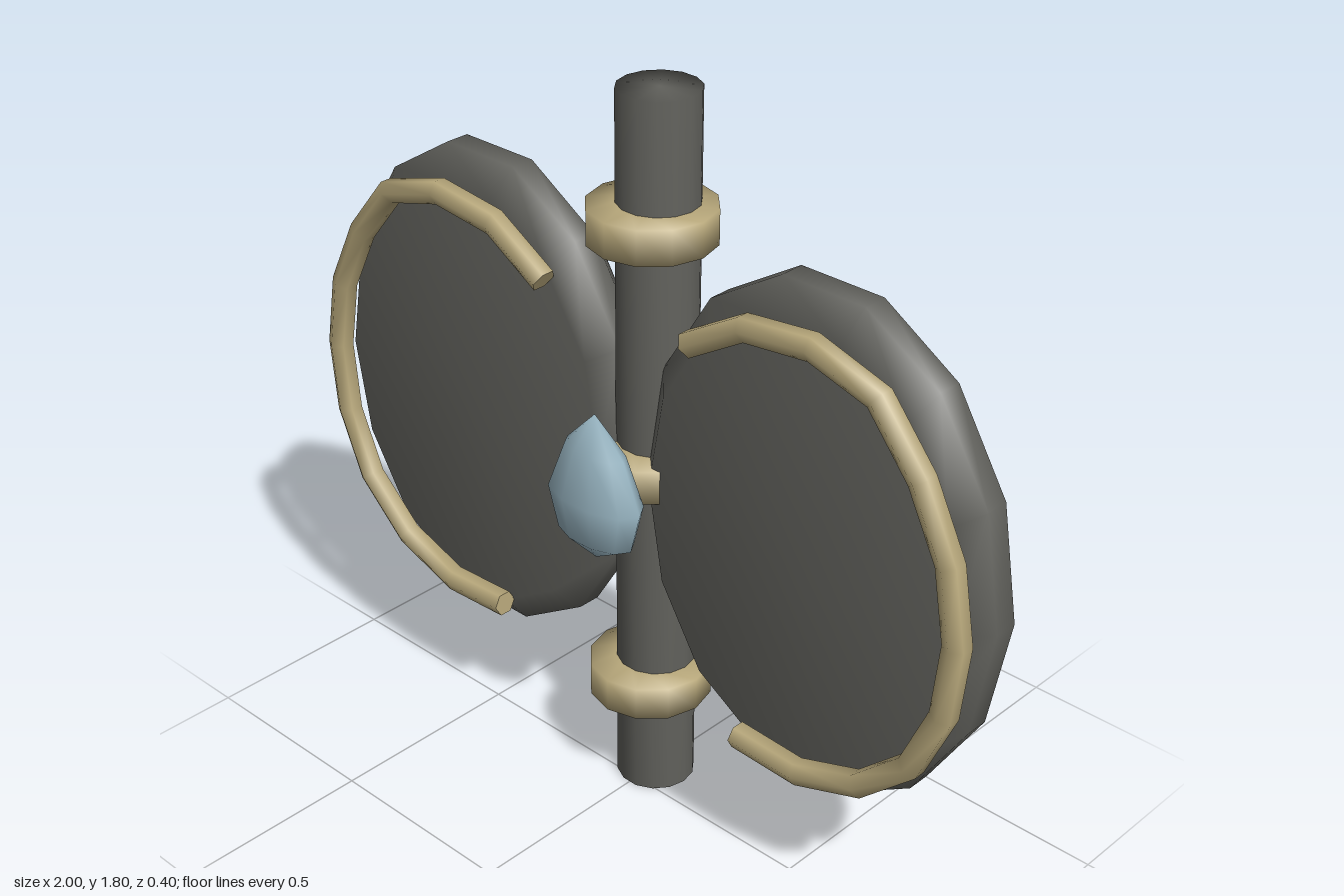
import * as THREE from 'three';
import { mergeVertices } from 'three/addons/utils/BufferGeometryUtils.js';

const material = (name, color) => {
  const m = new THREE.MeshStandardMaterial({ color });
  m.name = name;
  return m;
};

// Turned solid with few sides and soft shading; pairs are [radius, height]
function turned(pairs, sides) {
  const points = pairs.map(([r, y]) => new THREE.Vector2(r, y));
  const lathe = new THREE.LatheGeometry(points, sides, Math.PI / 2);
  lathe.deleteAttribute('uv');
  lathe.deleteAttribute('normal');
  const geometry = mergeVertices(lathe, 1e-4);
  geometry.computeVertexNormals();
  return geometry;
}

export function createModel() {
  const group = new THREE.Group();
  const grey = material('dark grey', 0x62625d);
  const gold = material('pale gold', 0xb9a97c);
  const blue = material('pale blue', 0x9ab7c4);

  const add = (name, geometry, mat, x = 0, y = 0, z = 0) => {
    const mesh = new THREE.Mesh(geometry, mat);
    mesh.name = name;
    mesh.position.set(x, y, z);
    group.add(mesh);
    return mesh;
  };

  // Upright rod
  add('rod', turned([[0, 0], [0.096, 0], [0.096, 1.8], [0, 1.8]], 14), grey, 0, 0, -0.07);

  // Three collars around the rod
  const collar = turned([[0.07, -0.042], [0.15, -0.042], [0.15, 0.042], [0.07, 0.042]], 12);
  for (const [name, y] of [['lowerCollar', 0.305], ['middleCollar', 0.905], ['upperCollar', 1.497]]) {
    add(name, collar, gold, 0, y, -0.05);
  }

  // Bevelled oval plate, shared by both sides
  const plate = turned([[0, -0.135], [0.88, -0.135], [1, -0.075], [1, -0.015], [0.88, 0.042], [0, 0.042]], 14);
  plate.rotateX(Math.PI / 2);
  plate.scale(0.49, 0.63, 1);
  plate.computeVertexNormals();

  // Path of the curved trim on each plate
  const trimPath = [
    [0.22, 1.32], [0.365, 1.41], [0.54, 1.435], [0.7, 1.405], [0.825, 1.275], [0.92, 1.11],
    [0.963, 0.9], [0.935, 0.68], [0.85, 0.52], [0.7, 0.405], [0.55, 0.365], [0.385, 0.375],
  ];

  for (const side of [1, -1]) {
    const prefix = side > 0 ? 'left' : 'right';
    add(prefix + 'Plate', plate, grey, side * 0.51, 0.9, 0);

    const curve = new THREE.CatmullRomCurve3(
      trimPath.map(([x, y]) => new THREE.Vector3(side * x, y, 0.07)));
    add(prefix + 'Trim', new THREE.TubeGeometry(curve, 11, 0.032, 6), gold);

    // Caps closing the trim ends
    for (const end of [0, 1]) {
      const p = curve.getPointAt(end);
      const outward = curve.getTangentAt(end).multiplyScalar(end ? 1 : -1);
      const cap = add(prefix + 'TrimCap', new THREE.CircleGeometry(0.032, 6), gold, p.x, p.y, p.z);
      cap.lookAt(p.clone().add(outward));
    }
  }

  // Flattened teardrop gem
  const gem = turned([[0, 0.715], [0.11, 0.775], [0.138, 0.88], [0.088, 1.0], [0, 1.09]], 10);
  gem.scale(1, 1, 0.5);
  gem.computeVertexNormals();
  add('gem', gem, blue, 0, 0, 0.133);

  return group;
}
